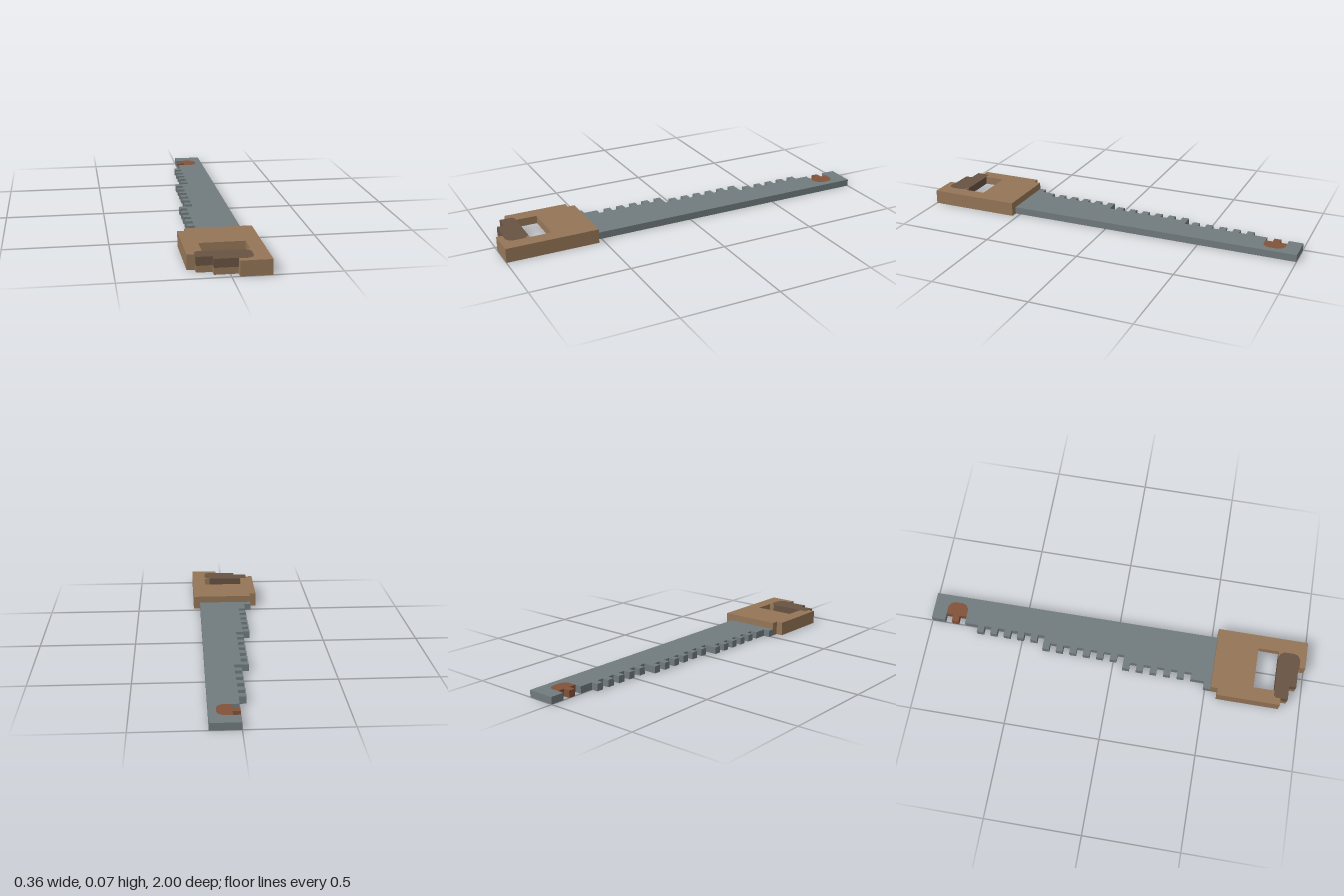
import * as THREE from 'three';

// The saw lies flat on a grid of 55 cells from tip (k = 0) to handle end (k = 55).
const U = 2 / 55;

const steel = new THREE.MeshStandardMaterial({ name: 'steel grey', color: 0x717b7e });
const wood = new THREE.MeshStandardMaterial({ name: 'wood brown', color: 0x957657 });
const darkWood = new THREE.MeshStandardMaterial({ name: 'dark worn wood', color: 0x685342 });
const rust = new THREE.MeshStandardMaterial({ name: 'rust brown', color: 0x82523a });

// Flat slab from an outline of [x, k] cells, between heights y0 and y1 (in cells)
function slab(name, material, outline, y0, y1, hole) {
  const toPoints = (list) => list.map(([x, k]) => new THREE.Vector2(x * U, (27.5 - k) * U));
  const shape = new THREE.Shape(toPoints(outline));
  if (hole) shape.holes.push(new THREE.Path(toPoints(hole)));
  const geometry = new THREE.ExtrudeGeometry(shape, { depth: (y1 - y0) * U, bevelEnabled: false });
  geometry.rotateX(-Math.PI / 2);
  geometry.translate(0, y0 * U, 0);
  const mesh = new THREE.Mesh(geometry, material);
  mesh.name = name;
  return mesh;
}

// Teeth: one-cell steps from x = base to base - 1, every second cell
function teeth(base, start, count) {
  const points = [];
  for (let i = 0; i < count; i++) {
    const k = start + 2 * i;
    points.push([base, k], [base - 1, k], [base - 1, k + 1], [base, k + 1]);
  }
  return points;
}

export function createModel() {
  const group = new THREE.Group();
  group.name = 'handSaw';

  // Rust spot near the tip, fitted into the blade
  const rustCurve = [[1, 2], [2.2, 2], [2.8, 2.4], [3, 2.9], [3, 4.1], [2.8, 4.6], [2.2, 5], [1, 5]];
  group.add(slab('rustSpot', rust, [...rustCurve, [1, 4], [0, 4], [0, 3], [1, 3]], 0, 1));

  // Blade, widening in steps towards the handle
  group.add(slab('blade', steel, [
    [4, 0], [0, 0], [0, 2], ...rustCurve, [0, 5],
    ...teeth(0, 7, 5), [0, 17],
    ...teeth(-1, 17, 6).slice(1), [-1, 29],
    ...teeth(-2, 29, 5).slice(1), [-2, 39],
    [-3, 39], [-3, 41], [-4, 41], [-4, 42], [4, 42],
  ], 0, 1));

  // Lower layer of the handle with the grip opening
  const split = 0.87;
  group.add(slab('handleBase', wood, [
    [-4, 42], [5, 42], [5, 55], [1, 55], [1, 54], [-2, 54], [-2, 53],
    [-4, 53], [-4, 52], [-5, 52], [-5, 43], [-4, 43],
  ], 0, split, [[-3, 48], [3, 48], [3, 51], [-3, 51]]));

  // Upper layer: plain wood wraps around a darker worn grip
  const gripCurve = [[1, 54.15], [2.2, 54.15], [2.8, 53.8], [3, 53.2], [3, 51.8], [2.7, 51.3], [2.2, 51]];
  group.add(slab('handleTop', wood, [
    [-4, 42], [5, 42], [5, 55], [1, 55], ...gripCurve, [3, 51], [3, 48], [-3, 48],
    [-3, 51], [-3.7, 51], [-4, 51.3], [-4, 52], [-5, 52], [-5, 43], [-4, 43],
  ], split, 2));
  group.add(slab('wornGrip', darkWood, [
    ...gripCurve, [-3.7, 51], [-4, 51.3], [-4, 53], [-2, 53], [-2, 54], [1, 54],
  ], split, 2));

  return group;
}
